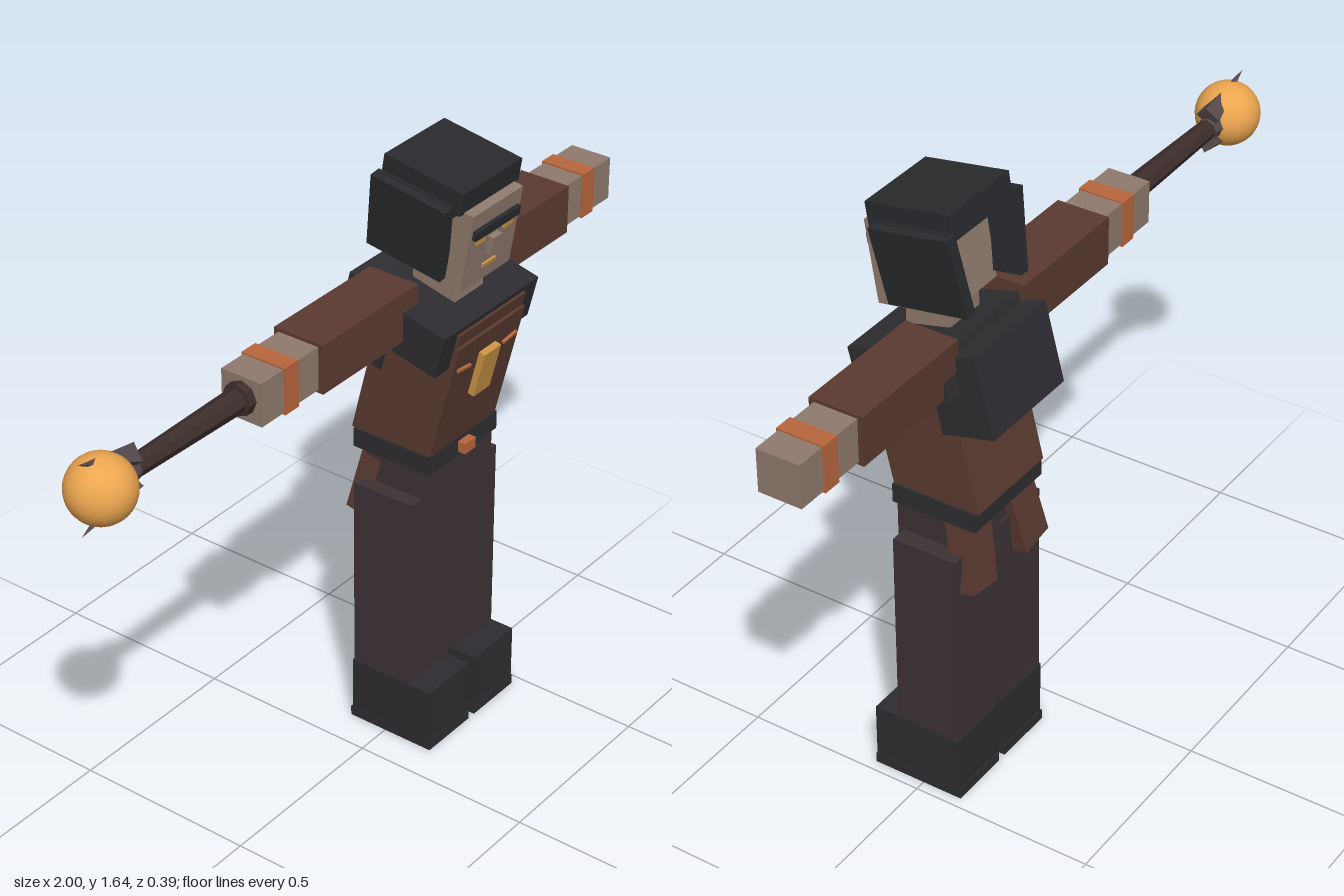
import * as THREE from 'three';

const BODY_X = 0.285; // the figure stands beside the origin, its staff reaches out to -x
const LEAN = 0.24; // forward lean of the upper body

const mat = (color) => new THREE.MeshStandardMaterial({ color, flatShading: true });

export function createModel() {
  const model = new THREE.Group();
  const cloth = mat(0x5a3a31), trousers = mat(0x3d3235), dark = mat(0x2e2c30), skin = mat(0x8f7a6d);
  const copper = mat(0xb8663d), gold = mat(0xcc9445), hairMat = mat(0x292a2d), wood = mat(0x3d2e2b);
  const steel = mat(0x55494a);
  const orbMat = new THREE.MeshStandardMaterial({ color: 0xeca650 });

  const box = (parent, name, material, size, pos, rot = [0, 0, 0]) => {
    const mesh = new THREE.Mesh(new THREE.BoxGeometry(...size), material);
    mesh.name = name;
    mesh.position.set(...pos);
    mesh.rotation.set(...rot);
    parent.add(mesh);
    return mesh;
  };
  const group = (parent, name, pos = [0, 0, 0], rot = [0, 0, 0]) => {
    const g = new THREE.Group();
    g.name = name;
    g.position.set(...pos);
    g.rotation.set(...rot);
    parent.add(g);
    return g;
  };

  const body = group(model, 'body', [BODY_X, 0, 0]);

  // Legs, boots, coat tails and arms, mirrored
  for (const s of [-1, 1]) {
    const side = s > 0 ? 'left' : 'right';
    box(body, side + 'Leg', trousers, [0.165, 0.56, 0.18], [s * 0.099, 0.45, -0.015]);
    box(body, side + 'Boot', dark, [0.17, 0.155, 0.25], [s * 0.099, 0.1025, 0.017]);
    box(body, side + 'Sole', dark, [0.173, 0.027, 0.257], [s * 0.099, 0.0135, 0.016]);
    box(body, side + 'CoatTail', cloth, [0.1, 0.21, 0.06], [s * 0.1, 0.728, -0.095], [0.2, 0, s * 0.13]);

    const arm = group(body, side + 'Arm', [0, 1.268, -0.019]);
    box(arm, 'sleeve', cloth, [0.37, 0.132, 0.146], [s * 0.32, 0, 0]);
    box(arm, 'hand', skin, [0.24, 0.116, 0.118], [s * 0.595, 0, 0]);
    box(arm, 'cuffBand', copper, [0.05, 0.125, 0.128], [s * 0.61, 0, 0]);
  }

  // Hips and belt
  box(body, 'hips', trousers, [0.276, 0.13, 0.19], [-0.003, 0.775, -0.003]);
  box(body, 'belt', dark, [0.288, 0.052, 0.236], [0, 0.835, -0.018]);
  box(body, 'buckle', copper, [0.045, 0.03, 0.025], [0, 0.836, 0.11]);

  // Leaning torso with chest plate
  const torso = group(body, 'torso', [0, 1.022, 0.016], [LEAN, 0, 0]);
  box(torso, 'tunic', cloth, [0.276, 0.4, 0.236], [0, 0.007, 0]);
  box(torso, 'shoulderYoke', dark, [0.39, 0.12, 0.262], [0, 0.2, -0.028]);
  box(torso, 'tunicFront', cloth, [0.276, 0.1, 0.02], [0, 0.195, 0.1]);
  box(torso, 'chestPlate', gold, [0.068, 0.132, 0.022], [0, 0.083, 0.125]);
  for (const s of [-1, 1]) {
    box(torso, 'chestClasp', copper, [0.055, 0.008, 0.012], [s * 0.095, 0.132, 0.119], [0, 0, s * 0.15]);
  }
  box(body, 'loweredHood', dark, [0.294, 0.213, 0.148], [0, 1.185, -0.098], [0.25, 0, 0]);
  box(body, 'neck', skin, [0.118, 0.15, 0.125], [0, 1.33, 0.045]);

  // Head with facial features on its front plane
  const head = group(body, 'head', [0, 1.451, 0.075], [0.16, 0, 0]);
  box(head, 'skull', skin, [0.204, 0.216, 0.193], [0, 0, 0]);
  box(head, 'brow', hairMat, [0.18, 0.025, 0.022], [0, 0.051, 0.097]);
  box(head, 'nose', skin, [0.036, 0.048, 0.026], [0, -0.005, 0.1]);
  box(head, 'mouth', gold, [0.054, 0.009, 0.01], [0, -0.062, 0.097]);
  for (const s of [-1, 1]) box(head, 'eye', gold, [0.035, 0.018, 0.012], [s * 0.056, 0.027, 0.097]);

  // Hair: a top slab, a narrow rim under it and two panels slanting inward
  const hair = group(head, 'hair');
  box(hair, 'hairTop', hairMat, [0.24, 0.062, 0.234], [0, 0.135, -0.047]);
  box(hair, 'hairRim', hairMat, [0.256, 0.03, 0.21], [0, 0.107, -0.052]);
  for (const s of [-1, 1]) {
    box(hair, 'hairSide', hairMat, [0.032, 0.21, 0.222], [s * 0.122, 0.014, -0.062], [0, 0, -s * 0.13]);
  }

  // Staff held in the right hand, built along +y and laid towards -x
  const staff = group(model, 'staff', [-0.425, 1.272, -0.017], [0, 0, Math.PI / 2]);
  const rod = (name, material, rTop, rBottom, y0, y1, sides) => {
    const mesh = new THREE.Mesh(new THREE.CylinderGeometry(rTop, rBottom, y1 - y0, sides), material);
    mesh.name = name;
    mesh.position.y = (y0 + y1) / 2;
    staff.add(mesh);
  };
  rod('pole', wood, 0.026, 0.033, 0, 0.42, 8);
  rod('grip', wood, 0.042, 0.045, -0.03, 0.028, 8);
  rod('collar', steel, 0.034, 0.028, 0.385, 0.425, 8);
  const orb = new THREE.Mesh(new THREE.SphereGeometry(0.085, 32, 20), orbMat);
  orb.name = 'orb';
  orb.position.y = 0.492;
  staff.add(orb);

  // Claws gripping the orb from either side
  for (const s of [-1, 1]) {
    const from = new THREE.Vector3(s * 0.032, 0.39, 0), tip = new THREE.Vector3(s * 0.094, 0.562, 0);
    const dir = tip.clone().sub(from);
    const claw = new THREE.Mesh(new THREE.ConeGeometry(0.034, dir.length(), 4), steel);
    claw.name = 'claw';
    claw.position.copy(from).add(tip).multiplyScalar(0.5);
    claw.quaternion.setFromUnitVectors(new THREE.Vector3(0, 1, 0), dir.normalize());
    staff.add(claw);
  }
  return model;
}
